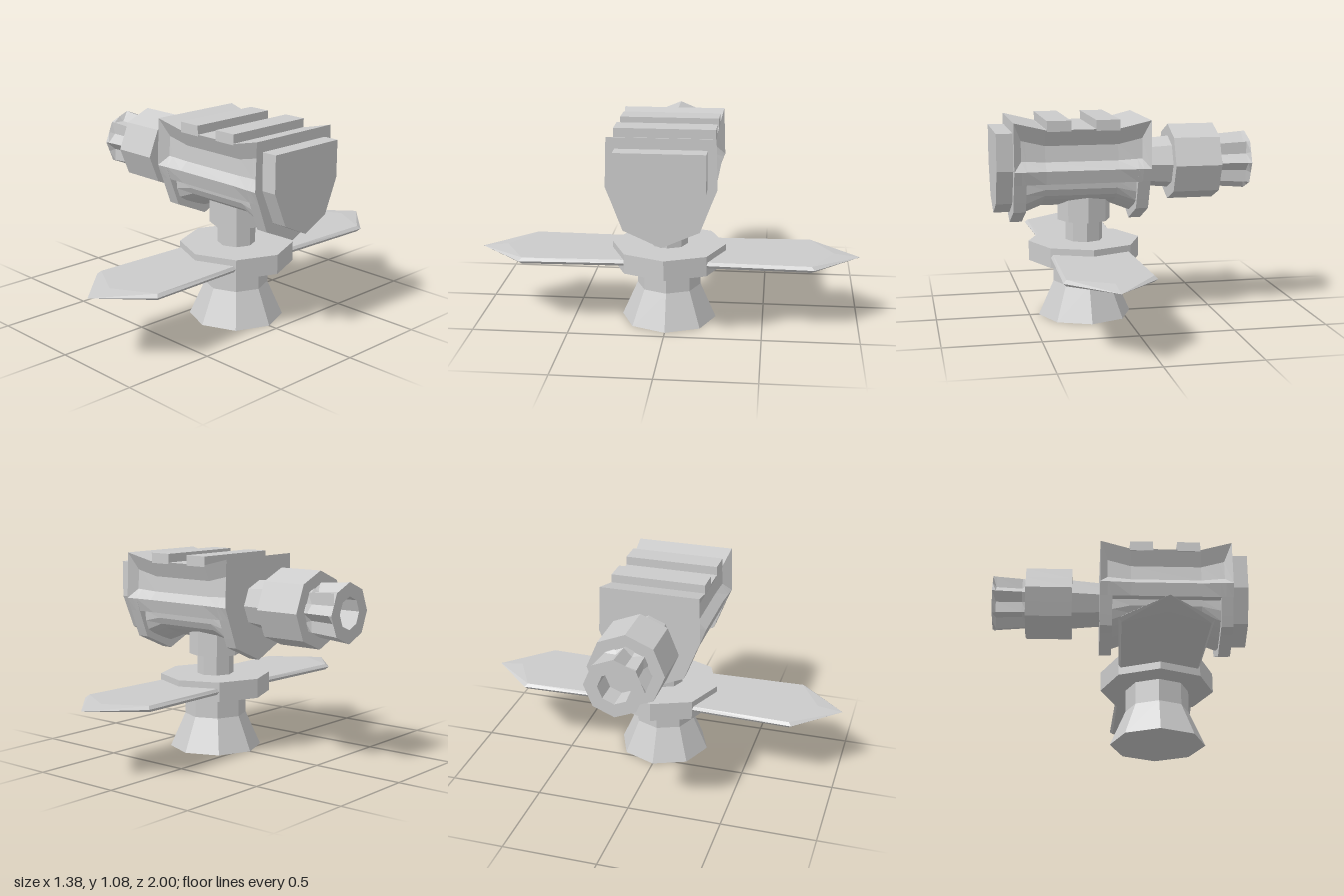
import * as THREE from 'three';

const material = new THREE.MeshStandardMaterial({ color: 0xcccccc, flatShading: true, roughness: 0.8 });

// Faceted skin over rings of [x, y, z]; each ring turns from +y towards +z, ends are capped.
function loft(rings) {
  const out = [];
  const tri = (...pts) => pts.forEach((p) => out.push(...p));
  const n = rings[0].length;
  for (let i = 0; i < rings.length - 1; i++) {
    for (let j = 0; j < n; j++) {
      const k = (j + 1) % n;
      const a = rings[i][j], b = rings[i][k], c = rings[i + 1][k], d = rings[i + 1][j];
      tri(a, b, c);
      tri(a, c, d);
    }
  }
  const first = rings[0], last = rings[rings.length - 1];
  const middle = (ring) => [0, 1, 2].map((c) => ring.reduce((s, p) => s + p[c], 0) / n);
  for (let j = 0; j < n; j++) {
    const k = (j + 1) % n;
    tri(middle(first), first[k], first[j]);
    tri(middle(last), last[j], last[k]);
  }
  const geometry = new THREE.BufferGeometry();
  geometry.setAttribute('position', new THREE.Float32BufferAttribute(out, 3));
  geometry.computeVertexNormals();
  return geometry;
}

// Ring at x from half a profile of [z, y], first point on top, last on the centre line.
function mirroredRing(x, half) {
  const back = half.slice(0, -1).reverse().map(([z, y]) => [-z, y]);
  return [...half, ...back].map(([z, y]) => [x, y, z]);
}

// Octagonal ring round the barrel axis; dent pulls in the middle of each side.
function barrelRing(x, r, dent = 1) {
  return Array.from({ length: 16 }, (_, i) => {
    const a = (i * Math.PI) / 8;
    const rr = i % 2 ? r * Math.cos(Math.PI / 8) * dent : r;
    return [x, 0.817 + rr * Math.cos(a), rr * Math.sin(a)];
  });
}

// Housing section: flared ends, sunken side panels, hollowed underside.
function housingRing(x, panel, hollow) {
  const t = Math.min(1, Math.max(0, (Math.abs(x - 0.245) - 0.19) / 0.165)); // 0 middle, 1 end
  const top = [0.255 + 0.012 * t, 1.03 + 0.04 * t];
  const ridge = [0.265 + 0.01 * t, 0.82];
  const sides = panel
    ? [top, [0.215 + 0.012 * t, 0.945 + 0.04 * t], [0.22 + 0.012 * t, 0.862 + 0.01 * t], ridge]
    : [top, top, ridge, ridge];
  const drop = 0.065 * t;
  const under = hollow
    ? [[0.245, 0.75], [0.205, 0.75], [0.2, 0.715 - drop * 0.6], [0.18, 0.68 - drop],
      [0.14, 0.655 - drop], [0.07, 0.625 - drop], [0, 0.6 - drop]]
    : [[0.247, 0.75], [0.23, 0.705], [0.21, 0.652], [0.19, 0.6],
      [0.14, 0.578], [0.07, 0.547], [0, 0.515]];
  return mirroredRing(x, [...sides, ...under]);
}

export function createModel() {
  const model = new THREE.Group();
  model.name = 'turret';
  const add = (name, geometry, x = 0, y = 0, z = 0) => {
    const mesh = new THREE.Mesh(geometry, material);
    mesh.name = name;
    mesh.position.set(x, y, z);
    model.add(mesh);
  };
  const px = 0.2;

  // Octagonal pedestal: [name, top radius, bottom radius, bottom y, top y]
  [
    ['baseFoot', 0.168, 0.25, 0, 0.185],
    ['baseColumn', 0.168, 0.168, 0.185, 0.305],
    ['baseDisc', 0.3, 0.3, 0.305, 0.41],
    ['neck', 0.1, 0.1, 0.41, 0.52],
    ['neckCollar', 0.142, 0.142, 0.52, 0.7],
  ].forEach(([name, rt, rb, y0, y1]) =>
    add(name, new THREE.CylinderGeometry(rt, rb, y1 - y0, 8), px, (y0 + y1) / 2));

  // Pair of pointed blades, one bevelled plate passing through the disc
  const bladeRing = (s, xc, xt, xe, wt, we, h) => [
    [s * xc, h, 0], [s * xt, h, wt], [s * xe, 0, we], [s * xt, -h, wt],
    [s * xc, -h, 0], [s * xt, -h, -wt], [s * xe, 0, -we], [s * xt, h, -wt],
  ];
  const bladeHalf = (s) => [
    bladeRing(s, 1, 1, 1, 0, 0, 0),
    bladeRing(s, 0.865, 0.745, 0.76, 0.215, 0.23, 0.016),
    bladeRing(s, 0.2, 0.2, 0.2, 0.2, 0.21, 0.016),
  ];
  add('blades', loft([...bladeHalf(-1), ...bladeHalf(1).reverse()]).rotateY(-Math.PI / 2), px, 0.36);

  // Housing
  add('housing', loft([
    housingRing(-0.11, false, false),
    housingRing(-0.07, true, false),
    housingRing(-0.045, true, false),
    housingRing(-0.0449, true, true),
    housingRing(0.055, true, true),
    housingRing(0.435, true, true),
    housingRing(0.5349, true, true),
    housingRing(0.535, true, false),
    housingRing(0.56, true, false),
    housingRing(0.6, false, false),
  ]));

  // Rear plate
  const plate = [[0.225, 1.014], [0.225, 0.82], [0.147, 0.64], [0, 0.57]];
  add('rearPlate', loft([mirroredRing(0.59, plate), mirroredRing(0.685, plate)]));

  // Ribs across the top
  [0.1125, 0.3675].forEach((x) => add('topRib', new THREE.BoxGeometry(0.125, 0.055, 0.51), x, 1.049));

  // Barrel: tapered shank, thick sleeve, fluted muzzle with an open bore
  add('barrelShank', loft([barrelRing(-0.27, 0.14), barrelRing(-0.1, 0.125)]));
  add('barrelSleeve', loft([barrelRing(-0.51, 0.203), barrelRing(-0.26, 0.203)]));
  add('muzzle', loft([
    barrelRing(-0.57, 0.085),
    barrelRing(-0.69, 0.085),
    barrelRing(-0.69, 0.157),
    barrelRing(-0.67, 0.154, 0.82),
    barrelRing(-0.53, 0.143, 0.82),
    barrelRing(-0.505, 0.14),
  ]));

  return model;
}
